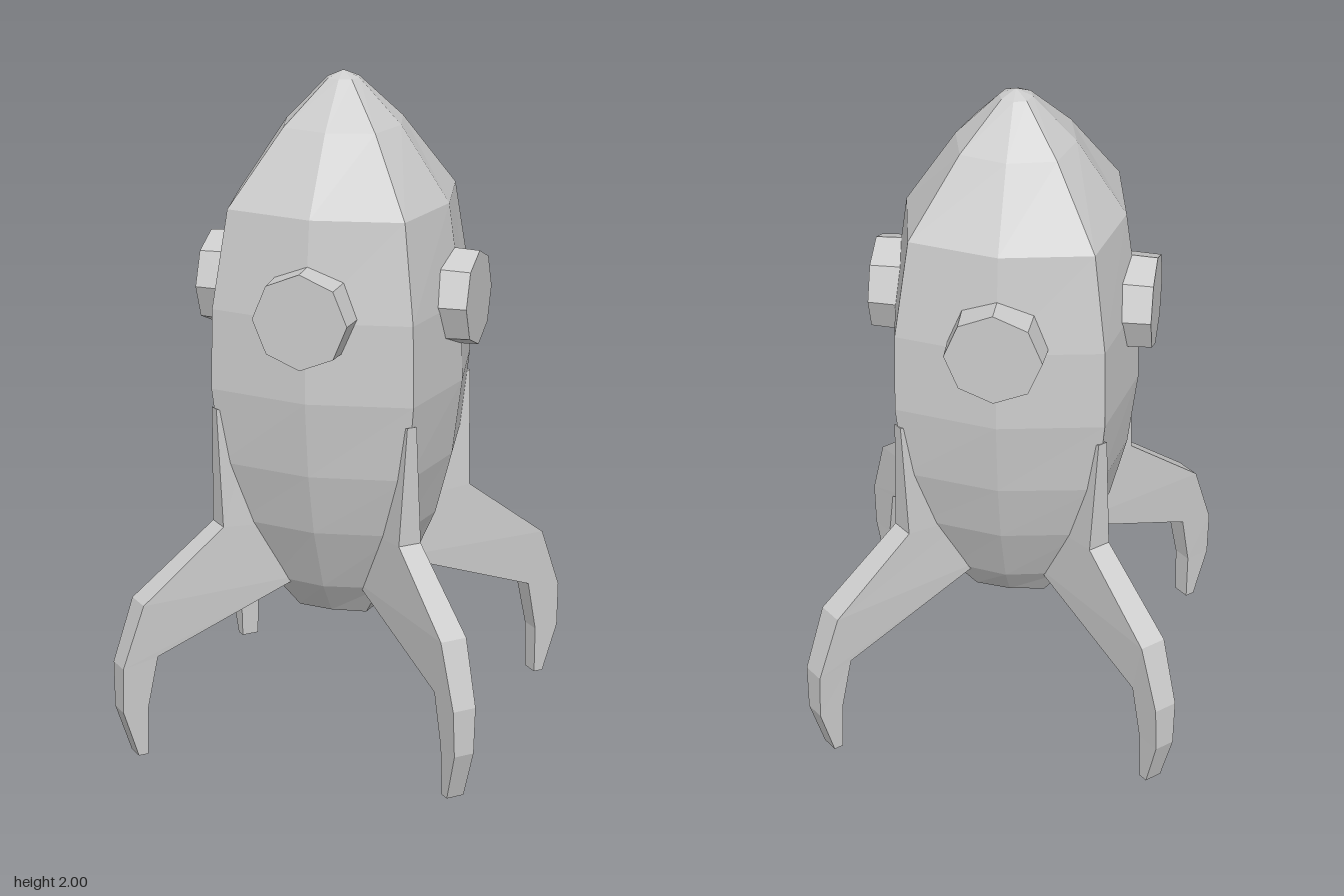
import * as THREE from 'three';

const material = new THREE.MeshStandardMaterial({ color: 0xcccccc, flatShading: true });

// Skins a stack of rings (bottom to top, each counter-clockwise from above) and caps both ends
function loft(rings) {
  const n = rings[0].length;
  const index = [];
  for (let r = 0; r < rings.length - 1; r++) {
    for (let i = 0; i < n; i++) {
      const j = (i + 1) % n;
      const a = r * n + i, b = r * n + j, c = b + n, d = a + n;
      index.push(a, b, c, a, c, d);
    }
  }
  const top = (rings.length - 1) * n;
  for (let i = 1; i < n - 1; i++) {
    index.push(0, i + 1, i);
    index.push(top, top + i, top + i + 1);
  }
  const indexed = new THREE.BufferGeometry();
  indexed.setAttribute('position', new THREE.Float32BufferAttribute(rings.flat(2), 3));
  indexed.setIndex(index);
  const geometry = indexed.toNonIndexed();
  geometry.computeVertexNormals();
  return geometry;
}

// Bulged square ring: c = corner offset, m = offset at the middle of each side
function hullRing([y, c, m]) {
  return [[0, y, m], [c, y, c], [m, y, 0], [c, y, -c], [0, y, -m], [-c, y, -c], [-m, y, 0], [-c, y, c]];
}

// Fin section: outer and inner (radius, height) and thickness
function finRing([ro, yo, ri, yi, t]) {
  const h = t / 2;
  return [[ro, yo, h], [ro, yo, -h], [ri, yi, -h], [ri, yi, h]];
}

function addMesh(parent, geometry, name) {
  const mesh = new THREE.Mesh(geometry, material);
  mesh.name = name;
  parent.add(mesh);
  return mesh;
}

export function createModel() {
  const rocket = new THREE.Group();
  rocket.name = 'rocket';

  // Hull: height, corner offset, side offset
  const hull = [
    [0.375, 0.105, 0.12],
    [0.48, 0.165, 0.2],
    [0.68, 0.242, 0.288],
    [0.87, 0.285, 0.337],
    [1.1, 0.306, 0.366],
    [1.34, 0.302, 0.36],
    [1.63, 0.265, 0.32],
    [1.85, 0.138, 0.174],
    [1.98, 0.036, 0.048],
    [2.0, 0.002, 0.003],
  ];
  addMesh(rocket, loft(hull.map(hullRing)), 'hull');

  // Curved landing fins on the four corners
  const fin = loft([
    [0.70, 0, 0.67, 0, 0.055],
    [0.748, 0.15, 0.668, 0.15, 0.063],
    [0.747, 0.29, 0.636, 0.31, 0.073],
    [0.68, 0.48, 0.16, 0.485, 0.083],
    [0.417, 0.68, 0.2, 0.66, 0.072],
    [0.425, 1.04, 0.3, 1.0, 0.03],
  ].map(finRing));

  // Octagonal portholes on the four sides
  const porthole = new THREE.CylinderGeometry(0.141, 0.147, 0.133, 8);
  porthole.rotateX(Math.PI / 2);
  porthole.translate(0, 1.355, 0.3465);

  for (let i = 0; i < 4; i++) {
    const turn = i * Math.PI / 2;
    addMesh(rocket, fin, 'fin').rotation.y = turn + Math.PI / 4;
    addMesh(rocket, porthole, 'porthole').rotation.y = turn;
  }
  return rocket;
}
